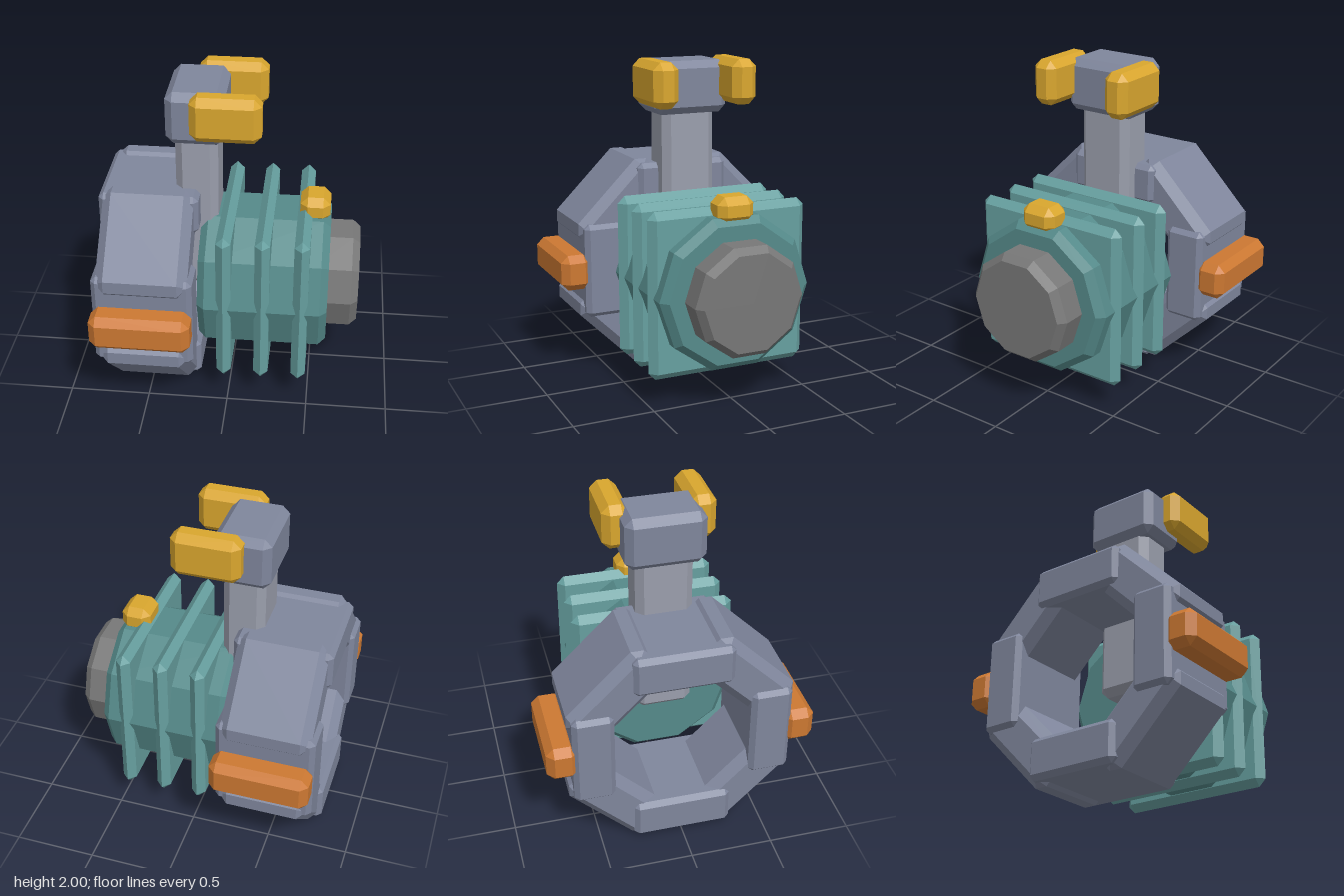
import * as THREE from 'three';
import { ConvexGeometry } from 'three/addons/geometries/ConvexGeometry.js';

const material = (color) => new THREE.MeshStandardMaterial({ color, flatShading: true });
const steel = material(0x7f869c);
const pale = material(0x9a9eac);
const teal = material(0x558a8a);
const lightTeal = material(0x669f9f);
const yellow = material(0xd9a62e);
const orange = material(0xcc7832);
const grey = material(0x777777);

// Box with every edge cut by c
function chamferBox(w, h, d, c) {
  const half = [w / 2, h / 2, d / 2];
  const points = new Map();
  for (const sx of [-1, 1]) for (const sy of [-1, 1]) for (const sz of [-1, 1]) {
    for (let axis = 0; axis < 3; axis++) {
      const p = [sx, sy, sz].map((s, i) => s * (i === axis ? half[i] : half[i] - c));
      points.set(p.map((v) => Math.round(v * 1e4)).join(), new THREE.Vector3(...p));
    }
  }
  return new ConvexGeometry([...points.values()]);
}

// Ten-sided body lying along x, from [radius, x] pairs
function decagon(profile) {
  const geometry = new THREE.LatheGeometry(profile.map(([r, x]) => new THREE.Vector2(r, x)), 10);
  return geometry.rotateZ(-Math.PI / 2);
}

function add(parent, name, geometry, mat, x, y, z) {
  const mesh = new THREE.Mesh(geometry, mat);
  mesh.name = name;
  mesh.position.set(x, y, z);
  parent.add(mesh);
  return mesh;
}

export function createModel() {
  const model = new THREE.Group();
  model.name = 'ringMountedDrum';
  const axisY = 0.68;

  // Open ring of eight blocks, the diagonal ones narrower and further out
  const ring = new THREE.Group();
  ring.name = 'ring';
  ring.position.set(-0.49, axisY, 0);
  model.add(ring);
  const straight = chamferBox(0.6, 0.25, 0.6, 0.03);
  const diagonal = chamferBox(0.545, 0.29, 0.65, 0.055);
  for (let i = 0; i < 8; i++) {
    const spoke = new THREE.Group();
    spoke.name = 'ringSegment';
    spoke.rotation.x = (i * Math.PI) / 4;
    ring.add(spoke);
    if (i % 2) add(spoke, 'diagonalBlock', diagonal, steel, 0, 0.548, 0);
    else add(spoke, 'straightBlock', straight, steel, 0, 0.535, 0);
  }

  // Bars on the front and back of the ring
  const sideBar = chamferBox(0.6, 0.225, 0.19, 0.045);
  for (const s of [-1, 1]) add(model, 'sideBar', sideBar, orange, -0.49, axisY, s * 0.717);

  // Ribbed drum with end cap
  add(model, 'drum', decagon([
    [0, -0.19], [0.44, -0.19], [0.485, -0.145], [0.485, 0.555], [0.44, 0.6], [0, 0.6],
  ]), teal, 0, axisY, 0);
  add(model, 'endCap', decagon([
    [0, 0.5], [0.345, 0.5], [0.345, 0.74], [0.305, 0.785], [0, 0.785],
  ]), grey, 0, axisY, 0);

  // Square fins with pointed rims
  const fin = chamferBox(0.09, 1.02, 1.02, 0.045);
  for (const x of [-0.025, 0.207, 0.44]) add(model, 'fin', fin, lightTeal, x, axisY, 0);

  // Knob on the drum
  add(model, 'knob', chamferBox(0.185, 0.16, 0.23, 0.045), yellow, 0.5, 1.18, 0);

  // Post and head
  add(model, 'post', chamferBox(0.255, 1.1, 0.345, 0.045), pale, -0.213, 1.19, 0);
  add(model, 'head', chamferBox(0.345, 0.325, 0.48, 0.045), steel, -0.212, 1.82, 0);

  // Prongs either side of the head
  const prong = chamferBox(0.415, 0.275, 0.16, 0.045);
  for (const s of [-1, 1]) add(model, 'prong', prong, yellow, -0.025, 1.863, s * 0.257);

  return model;
}
